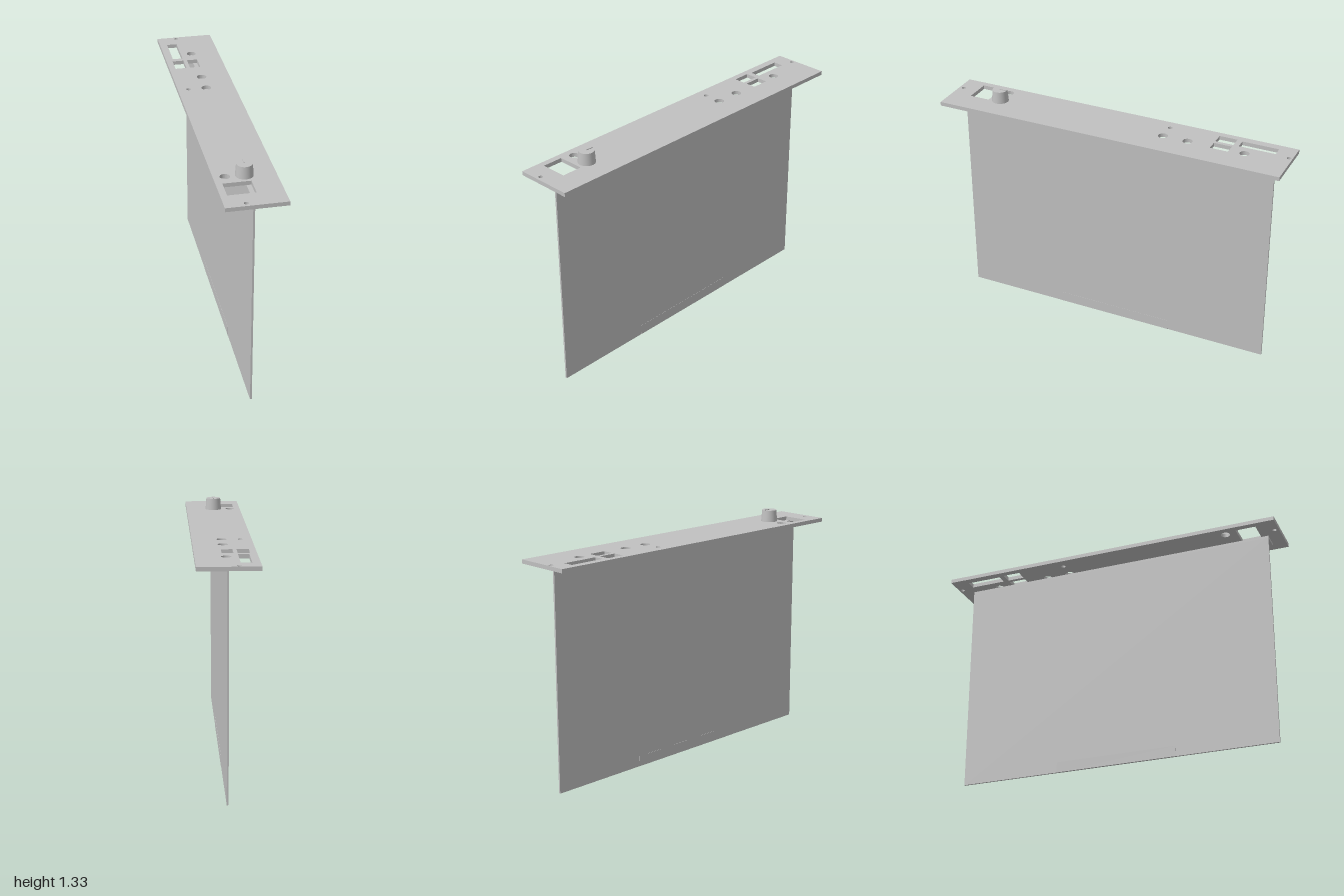
import * as THREE from 'three';

export function createModel() {
  const model = new THREE.Group();
  model.name = 'panelModule';
  const grey = new THREE.MeshStandardMaterial({ color: 0xc0c0c0 });
  grey.name = 'grey';

  const add = (name, geometry) => {
    const mesh = new THREE.Mesh(geometry, grey);
    mesh.name = name;
    model.add(mesh);
    return mesh;
  };
  // box given by its extents on each axis
  const box = (name, x0, x1, y0, y1, z0, z1) =>
    add(name, new THREE.BoxGeometry(x1 - x0, y1 - y0, z1 - z0))
      .position.set((x0 + x1) / 2, (y0 + y1) / 2, (z0 + z1) / 2);
  // rectangle drawn in x and -z, to be laid flat
  const rectangle = (path, x0, x1, z0, z1) => {
    path.moveTo(x0, -z1);
    path.lineTo(x1, -z1);
    path.lineTo(x1, -z0);
    path.lineTo(x0, -z0);
    path.closePath();
    return path;
  };

  // face plate with its cut-outs
  const plate = rectangle(new THREE.Shape(), -0.162, 0.16, -1, 1);
  const slots = [
    [-0.12, -0.063, -0.903, -0.698],
    [-0.127, -0.063, -0.667, -0.566],
    [-0.042, 0.018, -0.667, -0.566],
    [-0.127, 0.02, 0.77, 0.885],
  ];
  for (const s of slots) plate.holes.push(rectangle(new THREE.Path(), ...s));
  const drillings = [
    [-0.051, -0.98, 0.012], [-0.051, 0.973, 0.012],
    [0, -0.753, 0.026], [0, -0.432, 0.027], [0, -0.29, 0.027],
    [-0.101, -0.29, 0.013], [-0.101, 0.704, 0.026],
  ];
  for (const [x, z, r] of drillings) {
    plate.holes.push(new THREE.Path().absarc(x, -z, r, 0, Math.PI * 2, true));
  }
  const plateGeometry = new THREE.ExtrudeGeometry(plate, {
    depth: 0.022, bevelEnabled: false, curveSegments: 24,
  });
  plateGeometry.rotateX(-Math.PI / 2);
  add('facePlate', plateGeometry).position.y = 1.24;

  // circuit board, its mounting flange and the contacts on its lower edge
  box('board', -0.005, 0.005, 0, 1.24, -0.925, 0.925);
  box('mountingFlange', -0.005, 0.094, 1.227, 1.24, -0.925, 0.925);
  box('edgeContacts', -0.006, 0.006, 0, 0.06, -0.35, 0.35);

  // tapered control knob with a raised pointer
  const knob = add('knob', new THREE.CylinderGeometry(0.042, 0.047, 0.067, 48));
  knob.position.set(-0.002, 1.2955, 0.706);
  box('knobPointer', -0.005, 0.001, 1.325, 1.333, 0.666, 0.706);

  return model;
}
